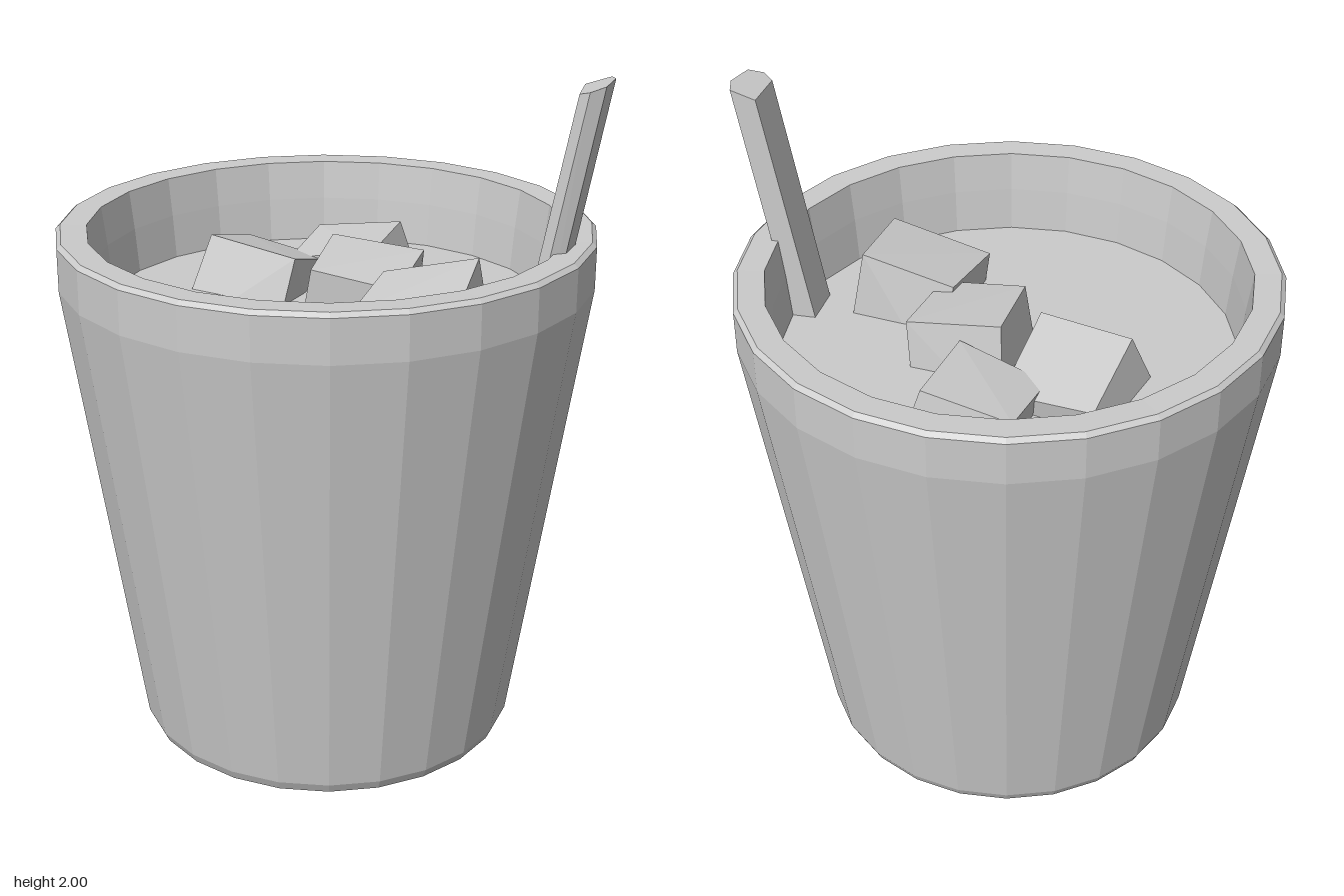
import * as THREE from 'three';
import { ConvexGeometry } from 'three/addons/geometries/ConvexGeometry.js';

const SIDES = 24;
const LIQUID_Y = 1.29;
const CUP_X = -0.02;

const material = new THREE.MeshStandardMaterial({ color: 0xcccccc, flatShading: true });

function part(name, geometry, parent) {
  const mesh = new THREE.Mesh(geometry, material);
  mesh.name = name;
  parent.add(mesh);
  return mesh;
}

// Small repeatable offset in the range -1..1
function wobble(seed) {
  const s = Math.sin(seed * 12.9898) * 43758.5453;
  return (s - Math.floor(s)) * 2 - 1;
}

// Roughly cut block of ice: a cube whose corners are nudged, top slightly smaller
function iceGeometry(size, seed) {
  const corners = [];
  for (let i = 0; i < 8; i++) {
    const x = i & 1 ? 1 : -1, y = i & 2 ? 1 : -1, z = i & 4 ? 1 : -1;
    const r = (size / 2) * (y > 0 ? 0.93 : 1);
    const n = (k) => 0.016 * wobble(seed * 31 + i * 3 + k);
    corners.push(new THREE.Vector3(x * r + n(0), (y * size) / 2 + n(1), z * r + n(2)));
  }
  return new ConvexGeometry(corners);
}

// Stirring stick: an irregular six-sided section, sheared so it leans on the rim
function stickGeometry() {
  const section = [[-0.04, -0.07], [0.03, -0.075], [0.045, -0.03], [0.03, 0.055], [-0.01, 0.075], [-0.04, 0.055]];
  const shape = new THREE.Shape(section.map(([x, z]) => new THREE.Vector2(x, -z)));
  const bottom = 1.2, top = 1.985;
  const geometry = new THREE.ExtrudeGeometry(shape, { depth: top - bottom, bevelEnabled: false });
  geometry.rotateX(-Math.PI / 2);
  geometry.translate(0, bottom, 0);
  const p = geometry.attributes.position;
  for (let i = 0; i < p.count; i++) {
    const x = p.getX(i), y = p.getY(i);
    const slant = y > 1.9 ? x * 0.33 : 0;
    p.setXYZ(i, x + 0.65 + (y - 1.55) * 0.185, y + slant, p.getZ(i) + 0.055);
  }
  geometry.computeVertexNormals();
  return geometry;
}

export function createModel() {
  const model = new THREE.Group();
  model.name = 'icedDrink';

  // Tapered cup with a straight band at the rim and an inner wall down to the drink
  const profile = [
    [0, 0], [0.55, 0], [0.564, 0.03], [0.768, 1.4], [0.768, 1.525], [0.755, 1.537],
    [0.68, 1.535], [0.665, 1.42], [0.65, LIQUID_Y - 0.02],
  ].map(([r, y]) => new THREE.Vector2(r, y));
  part('cup', new THREE.LatheGeometry(profile, SIDES), model).position.x = CUP_X;

  // Surface of the drink
  const surface = new THREE.CircleGeometry(0.66, SIDES);
  surface.rotateX(-Math.PI / 2);
  part('liquid', surface, model).position.set(CUP_X, LIQUID_Y, 0);

  // Floating ice: x, y, z, size, tilt x, turn y, tilt z
  const cubes = [
    [0.31, 1.28, 0.175, 0.31, 0.1, -0.03, 0.17],
    [0.08, 1.29, -0.03, 0.29, 0.12, -0.04, -0.09],
    [-0.02, 1.25, -0.34, 0.3, 0.08, -0.14, 0.16],
    [-0.26, 1.23, -0.15, 0.32, -0.25, -0.2, -0.16],
  ];
  const ice = new THREE.Group();
  ice.name = 'ice';
  cubes.forEach(([x, y, z, size, rx, ry, rz], i) => {
    const cube = part('iceCube', iceGeometry(size, i + 1), ice);
    cube.position.set(x, y, z);
    cube.rotation.set(rx, ry, rz, 'XZY');
  });
  model.add(ice);

  part('stirringStick', stickGeometry(), model);
  return model;
}
